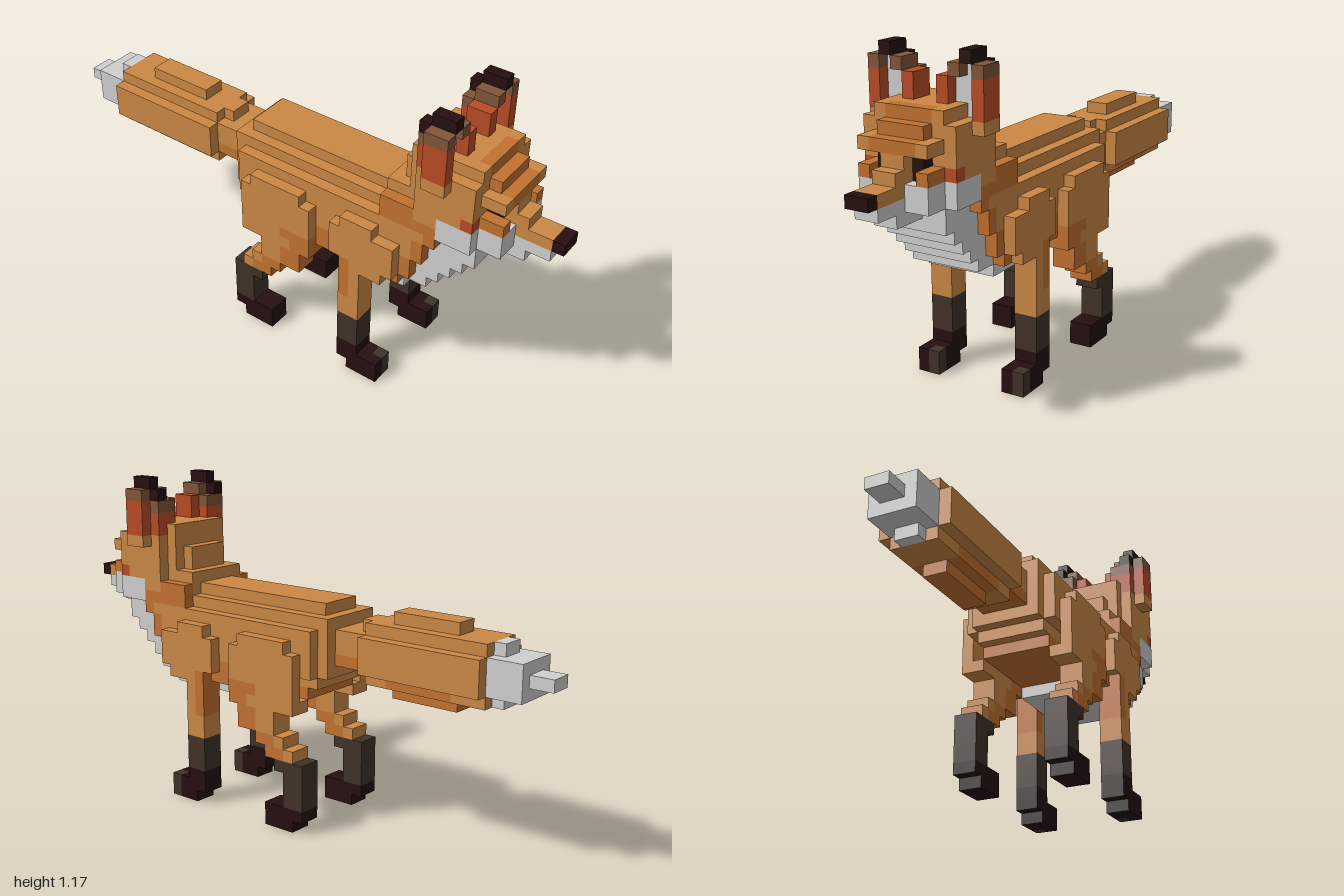
import * as THREE from 'three';
import { mergeGeometries } from 'three/addons/utils/BufferGeometryUtils.js';

const U = 1 / 24; // edge of one cube

const palette = {
  orange: 0xcb8845, darkOrange: 0xc27230, red: 0xb94c25, brown: 0x805639,
  darkBrown: 0x4032a, black: 0x260f0f, white: 0xd0d0d0,
};
palette.darkBrown = 0x403228;

export function createModel() {
  const cells = new Map();
  const key = (x, y, z) => `${x},${y},${z}`;

  // Fill a block of cubes; later blocks repaint earlier ones
  const block = (part, color, x0, x1, y0, y1, z0, z1) => {
    for (let x = x0; x < x1; x++)
      for (let y = y0; y < y1; y++)
        for (let z = z0; z < z1; z++) cells.set(key(x, y, z), { x, y, z, part, color });
  };
  // Centred block of half width w
  const mid = (part, color, w, ...r) => block(part, color, -w, w, ...r);
  // Block on both sides of the middle
  const pair = (part, color, x0, x1, ...r) => {
    block('left' + part, color, x0, x1, ...r);
    block('right' + part, color, -x1, -x0, ...r);
  };

  // Body: stepped back, rising belly
  mid('body', 'orange', 4, 13, 17, -4, 12);
  mid('body', 'orange', 3, 12, 18, -4, 12);
  mid('body', 'orange', 2, 12, 19, -4, 11);
  mid('body', 'orange', 3, 13, 18, -5, -4);
  mid('body', 'darkOrange', 4, 11, 13, 4, 12);
  mid('body', 'darkOrange', 3, 11, 12, -3, 4);
  mid('body', 'white', 3, 10, 11, 4, 12);

  // Neck and white throat: [y, front of orange, front of white]
  for (const [y, a, b] of [[10, 10, 12], [11, 12, 14], [12, 13, 15], [13, 13, 16],
    [14, 14, 17], [15, 14, 18], [16, 15, 18], [17, 15, 18], [18, 15, 18]]) {
    if (y > 10) mid('neck', y < 17 && y > 11 ? 'orange' : 'darkOrange', 4, y, y + 1, 10, a);
    if (y > 10 && y < 17) {
      block('neck', 'darkOrange', -4, -3, y, y + 1, a - 1, a);
      block('neck', 'darkOrange', 3, 4, y, y + 1, a - 1, a);
    }
    mid('throat', 'white', 3, y, y + 1, a, b);
  }
  mid('neck', 'orange', 3, 17, 20, 10, 15);
  mid('neck', 'orange', 2, 19, 22, 11, 14);
  mid('neck', 'orange', 2, 19, 20, 10, 11);

  // Head
  mid('head', 'orange', 4, 18, 23, 13, 18);
  mid('head', 'orange', 3, 19, 24, 12, 17);
  mid('head', 'orange', 3, 23, 24, 13, 18);
  mid('head', 'darkOrange', 2, 23, 24, 17, 18);
  mid('head', 'darkOrange', 2, 22, 23, 17, 19);
  mid('head', 'orange', 3, 21, 22, 17, 20);
  mid('head', 'darkOrange', 2, 21, 22, 19, 20);
  // Cheeks
  mid('cheeks', 'white', 4, 17, 19, 15, 18);
  mid('cheeks', 'white', 3, 17, 19, 17, 20);
  pair('Cheek', 'red', 3, 4, 19, 20, 17, 18);
  pair('Cheek', 'darkOrange', 2, 3, 19, 20, 17, 20);
  // Eyes
  pair('Eye', 'black', 1, 2, 19, 21, 18, 19);
  // Muzzle and nose
  mid('muzzle', 'orange', 1, 20, 21, 17, 20);
  mid('muzzle', 'orange', 1, 19, 20, 17, 21);
  mid('muzzle', 'orange', 1, 18, 19, 17, 23);
  mid('jaw', 'white', 1, 17, 18, 17, 23);
  mid('jaw', 'white', 1, 16, 17, 17, 21);
  mid('nose', 'black', 1, 18, 19, 23, 24);

  // Ears
  pair('Ear', 'orange', 4, 5, 22, 23, 14, 16);
  pair('Ear', 'red', 4, 5, 23, 26, 14, 16);
  pair('Ear', 'brown', 4, 5, 26, 27, 14, 16);
  pair('Ear', 'red', 2, 4, 23, 25, 13, 14);
  pair('Ear', 'brown', 2, 4, 25, 26, 13, 14);
  pair('Ear', 'black', 3, 4, 26, 27, 13, 14);
  pair('Ear', 'white', 2, 4, 23, 26, 14, 15);
  pair('Ear', 'white', 3, 4, 26, 27, 14, 15);
  pair('Ear', 'brown', 2, 3, 26, 27, 14, 16);
  pair('Ear', 'red', 1, 2, 24, 26, 14, 16);
  pair('Ear', 'black', 3, 4, 27, 28, 14, 16);

  // Front legs: shoulder, shin, paw
  pair('FrontLeg', 'orange', 4, 5, 15, 16, 7, 10);
  pair('FrontLeg', 'orange', 4, 5, 12, 15, 6, 12);
  pair('FrontLeg', 'orange', 4, 5, 11, 12, 7, 11);
  pair('FrontLeg', 'orange', 3, 5, 6, 11, 7, 9);
  pair('FrontLeg', 'darkOrange', 3, 5, 8, 12, 7, 8);
  pair('FrontLeg', 'darkBrown', 3, 5, 3, 6, 7, 9);
  pair('FrontLeg', 'black', 3, 5, 1, 3, 7, 9);
  pair('FrontLeg', 'black', 3, 5, 0, 2, 8, 11);
  block('leftFrontLeg', 'darkBrown', 4, 5, 0, 2, 10, 11);
  block('rightFrontLeg', 'darkBrown', -4, -3, 0, 2, 10, 11);

  // Hind legs: thigh, slanting hock, shin, paw
  pair('HindLeg', 'orange', 4, 5, 15, 16, -2, 3);
  pair('HindLeg', 'orange', 4, 5, 11, 15, -3, 4);
  for (const [y, z0, z1] of [[10, -3, 4], [9, -1, 3], [8, -1, 3], [7, -2, 1], [6, -3, 0]]) {
    pair('HindLeg', 'orange', 3, 5, y, y + 1, z0, z1);
    pair('HindLeg', 'darkOrange', 3, 5, y, y + 1, z1 - 2, z1);
  }
  pair('HindLeg', 'darkOrange', 4, 5, 11, 12, 1, 4);
  pair('HindLeg', 'darkBrown', 3, 5, 5, 6, -4, -1);
  pair('HindLeg', 'darkBrown', 3, 5, 2, 5, -4, -2);
  pair('HindLeg', 'black', 3, 5, 1, 2, -4, -3);
  pair('HindLeg', 'black', 3, 5, 0, 2, -3, 0);

  // Tail: thin root, thick brush, pale tip
  mid('tail', 'orange', 2, 14, 17, -8, -5);
  mid('tail', 'darkOrange', 2, 14, 15, -8, -5);
  mid('tail', 'orange', 1, 17, 18, -8, -7);
  mid('tail', 'orange', 3, 14, 17, -19, -8);
  mid('tail', 'orange', 2, 13, 18, -19, -8);
  mid('tail', 'orange', 1, 12, 19, -16, -10);
  mid('tail', 'darkOrange', 3, 12, 14, -16, -10);
  for (const s of [-3, 2]) for (let z = -16; z < -10; z++)
    for (const y of [12, 13]) cells.delete(key(s, y, z));
  for (const s of [-2, 1]) for (let z = -16; z < -10; z++) cells.delete(key(s, 12, z));
  mid('tailTip', 'white', 2, 14, 17, -22, -19);
  mid('tailTip', 'white', 1, 13, 18, -20, -19);
  mid('tailTip', 'white', 1, 15, 16, -24, -22);

  // Cube faces: direction and matching plane
  const faces = [[1, 0, 0], [-1, 0, 0], [0, 1, 0], [0, -1, 0], [0, 0, 1], [0, 0, -1]].map((d) => {
    const g = new THREE.PlaneGeometry(U, U);
    if (d[0]) g.rotateY(d[0] * Math.PI / 2);
    else if (d[1]) g.rotateX(-d[1] * Math.PI / 2);
    else if (d[2] < 0) g.rotateY(Math.PI);
    return { d, g: g.translate(d[0] * U / 2, d[1] * U / 2, d[2] * U / 2) };
  });

  // Collect the exposed faces by part and colour
  const parts = {};
  for (const c of cells.values()) {
    for (const { d, g } of faces) {
      if (cells.has(key(c.x + d[0], c.y + d[1], c.z + d[2]))) continue;
      const byColor = (parts[c.part] ??= {});
      (byColor[c.color] ??= []).push(
        g.clone().translate((c.x + 0.5) * U, (c.y + 0.5) * U, (c.z + 0.5) * U));
    }
  }

  const materials = {};
  for (const [name, color] of Object.entries(palette)) {
    materials[name] = new THREE.MeshStandardMaterial({ color });
    materials[name].name = name;
  }

  const model = new THREE.Group();
  model.name = 'fox';
  for (const [part, byColor] of Object.entries(parts)) {
    const group = new THREE.Group();
    group.name = part;
    for (const [color, list] of Object.entries(byColor)) {
      const mesh = new THREE.Mesh(mergeGeometries(list), materials[color]);
      mesh.name = `${part} ${color}`;
      group.add(mesh);
    }
    model.add(group);
  }
  return model;
}
